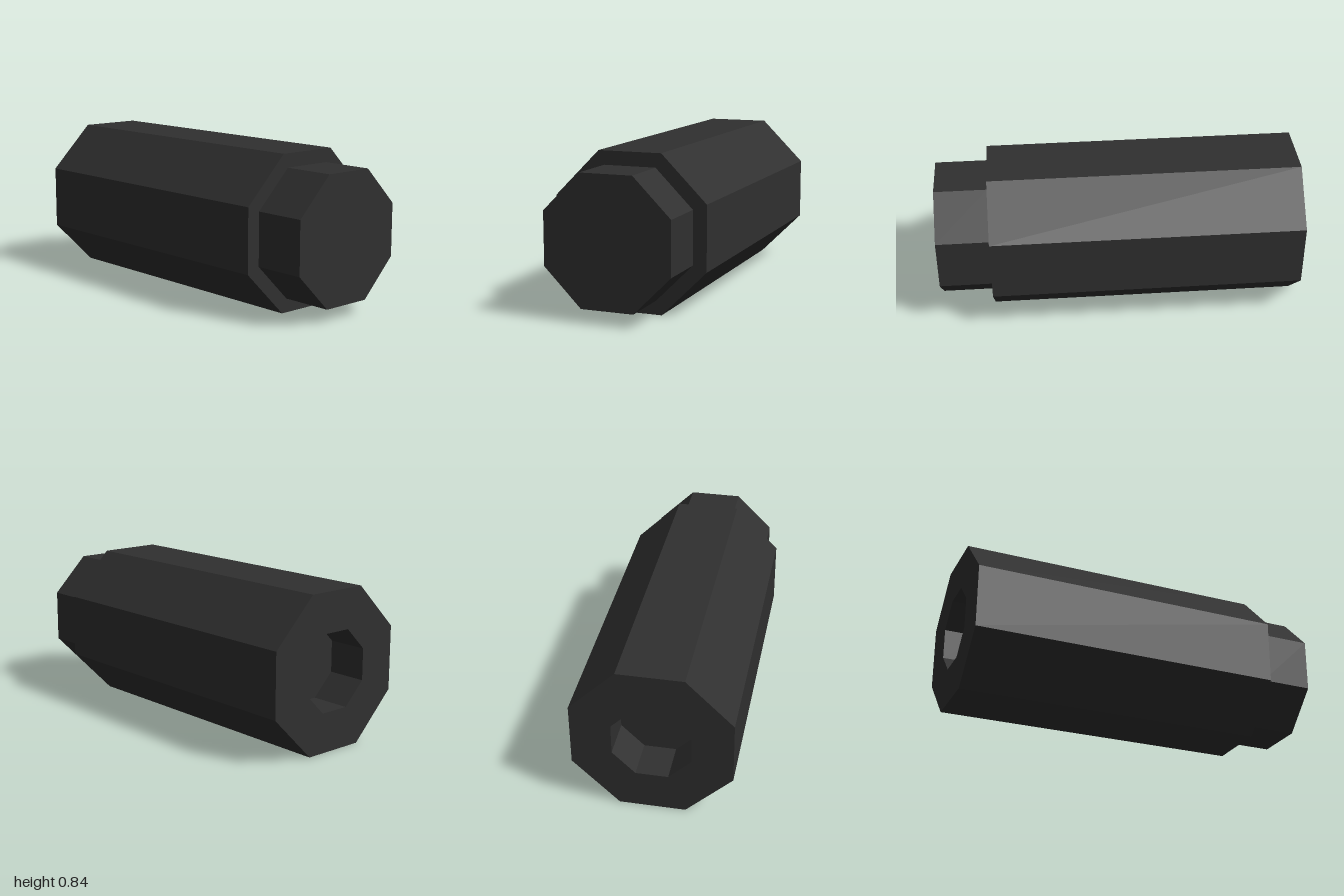
import * as THREE from 'three';

const SIDES = 8;
const CENTRE_Y = 0.422;

// Octagonal part along z from [apothem, z] pairs, with hard facets
function octagonal(name, profile, material) {
  const toCorner = 1 / Math.cos(Math.PI / SIDES);
  const points = profile.map(([a, z]) => new THREE.Vector2(a * toCorner, z));
  const geometry = new THREE.LatheGeometry(points, SIDES, Math.PI / SIDES)
    .rotateX(Math.PI / 2)
    .toNonIndexed();
  geometry.computeVertexNormals();
  const mesh = new THREE.Mesh(geometry, material);
  mesh.name = name;
  mesh.position.y = CENTRE_Y;
  return mesh;
}

export function createModel() {
  const group = new THREE.Group();
  group.name = 'octagonalBarrel';

  const charcoal = new THREE.MeshStandardMaterial({ color: 0x303030 });
  charcoal.name = 'charcoal';

  // Main body, including the blind bore in its back end
  group.add(octagonal('body', [
    [0, -0.78], [0.207, -0.78], [0.207, -1],
    [0.422, -1], [0.422, 0.71], [0.347, 0.71],
  ], charcoal));

  // Narrower plug on the front end
  group.add(octagonal('frontPlug', [
    [0.347, 0.71], [0.347, 1], [0, 1],
  ], charcoal));

  return group;
}
